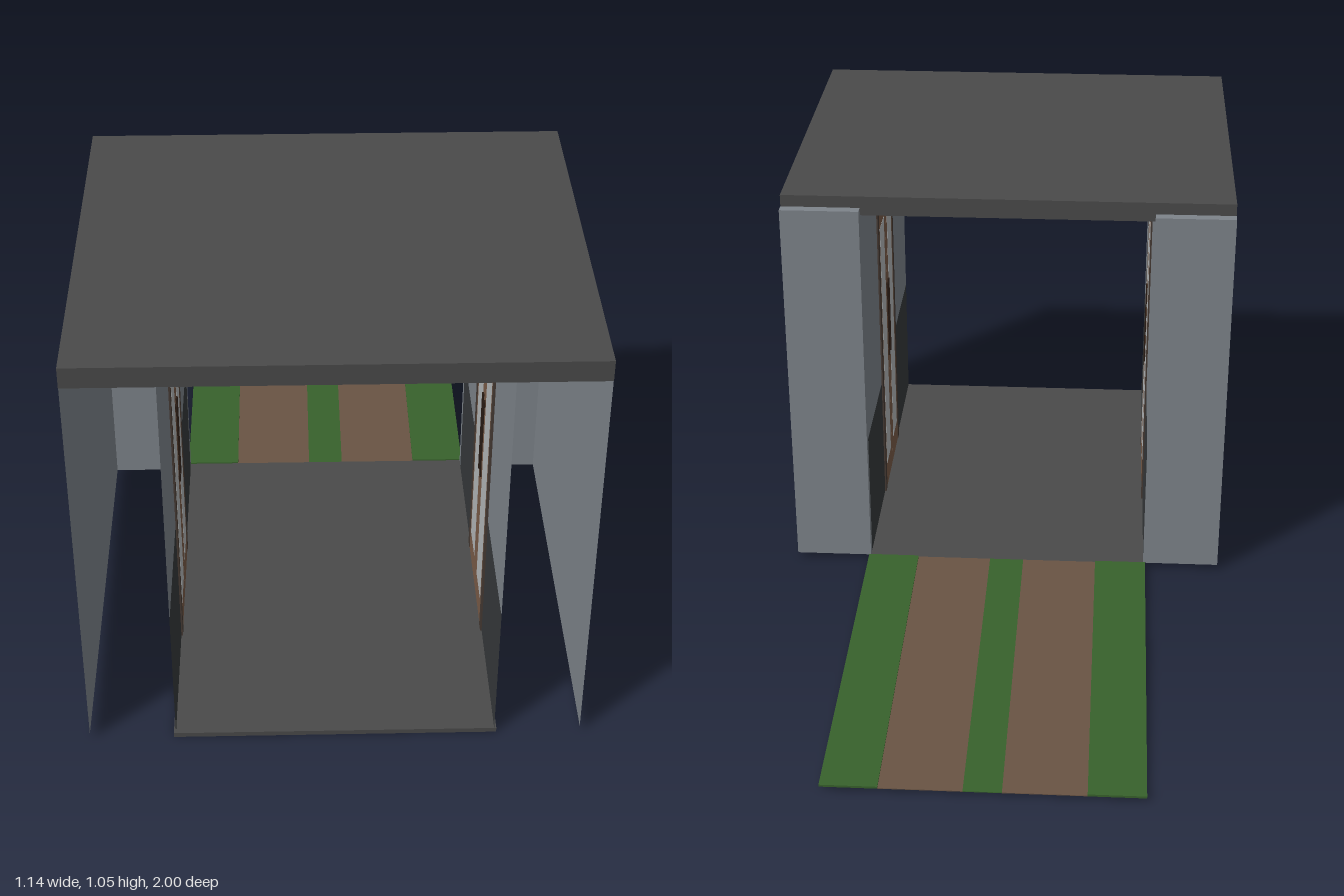
import * as THREE from 'three';

const mat = (color) => new THREE.MeshStandardMaterial({ color, side: THREE.DoubleSide });

export function createModel() {
  const model = new THREE.Group();
  const wall = mat(0x7e848b), slab = mat(0x4a4a4a), dado = mat(0x36393b);
  const wood = mat(0x7a5c48), frame = mat(0x453a33), glass = mat(0xb4b8ba), iron = mat(0x2a1c14);
  const grass = mat(0x38622c), dirt = mat(0x695444);

  // Box given by its minimum and maximum corners
  const box = (name, material, [x0, y0, z0], [x1, y1, z1], parent = model) => {
    const mesh = new THREE.Mesh(new THREE.BoxGeometry(x1 - x0, y1 - y0, z1 - z0), material);
    mesh.position.set((x0 + x1) / 2, (y0 + y1) / 2, (z0 + z1) / 2);
    mesh.name = name;
    parent.add(mesh);
    return mesh;
  };

  // Upright sheet in the z-y plane
  const sheet = (name, material, x, y0, y1, z0, z1, parent) => {
    const mesh = new THREE.Mesh(new THREE.PlaneGeometry(z1 - z0, y1 - y0), material);
    mesh.rotation.y = Math.PI / 2;
    mesh.position.set(x, (y0 + y1) / 2, (z0 + z1) / 2);
    mesh.name = name;
    parent.add(mesh);
  };

  // Floor and roof slabs
  box('floor', slab, [-0.375, 0, -0.015], [0.375, 0.012, 1]);
  box('roof', slab, [-0.57, 1, 0.012], [0.57, 1.05, 1]);

  // Double door on the inner wall, handles facing the corridor
  const addDoor = (side, parent) => {
    const door = new THREE.Group();
    door.name = 'doubleDoor';
    parent.add(door);
    const x = side * 0.37;
    const part = (name, m, t, y0, y1, z0, z1) =>
      box(name, m, [x - t, y0, z0], [x + t, y1, z1], door);
    part('doorFrameTop', frame, 0.004, 0.87, 0.9, 0.33, 0.67);
    for (const s of [-1, 1]) {
      const at = (name, m, t, y0, y1, a, b) =>
        part(name, m, t, y0, y1, 0.5 + Math.min(s * a, s * b), 0.5 + Math.max(s * a, s * b));
      at('doorFramePost', frame, 0.004, 0.012, 0.87, 0.145, 0.17);
      at('doorLeaf', wood, 0.003, 0.012, 0.87, 0.001, 0.145);
      at('doorGlass', glass, 0.0036, 0.08, 0.81, 0.034, 0.128);
      // Pull bar on two mounts
      const z = 0.5 + s * 0.016, inner = x - side * 0.006;
      box('handleBar', iron, [inner - 0.0015, 0.375, z - 0.005], [inner + 0.0015, 0.6, z + 0.005], door);
      for (const y of [0.383, 0.592])
        box('handleMount', iron, [x - 0.006, y - 0.008, z - 0.005], [x + 0.006, y + 0.008, z + 0.005], door)
          .position.x = x - side * 0.0015;
    }
  };

  // Side walls, mirrored
  for (const side of [-1, 1]) {
    const g = new THREE.Group();
    g.name = side > 0 ? 'leftSide' : 'rightSide';
    model.add(g);
    sheet('outerWall', wall, side * 0.5695, 0.014, 1, 0, 1, g);
    sheet('innerWallUpper', wall, side * 0.37, 0.36, 1, 0, 1, g);
    sheet('innerWallLower', dado, side * 0.37, 0.012, 0.36, 0, 1, g);
    const [a, b] = side > 0 ? [0.37, 0.57] : [-0.57, -0.37];
    box('endPanel', wall, [a, 0.014, -0.015], [b, 1.02, 0.011], g);
    addDoor(side, g);
  }

  // Path behind: grass strips with two dirt tracks
  const path = new THREE.Group();
  path.name = 'path';
  model.add(path);
  const strips = [[-0.375, -0.24, 0], [-0.24, -0.045, 1], [-0.045, 0.045, 0], [0.045, 0.24, 1], [0.24, 0.375, 0]];
  strips.forEach(([x0, x1, track], i) => {
    const top = i === 0 || i === 4 ? 0.0155 : 0.012;
    box(track ? 'dirtTrack' : 'grassStrip', track ? dirt : grass, [x0, 0.01, -1], [x1, top, -0.015], path);
  });

  return model;
}
